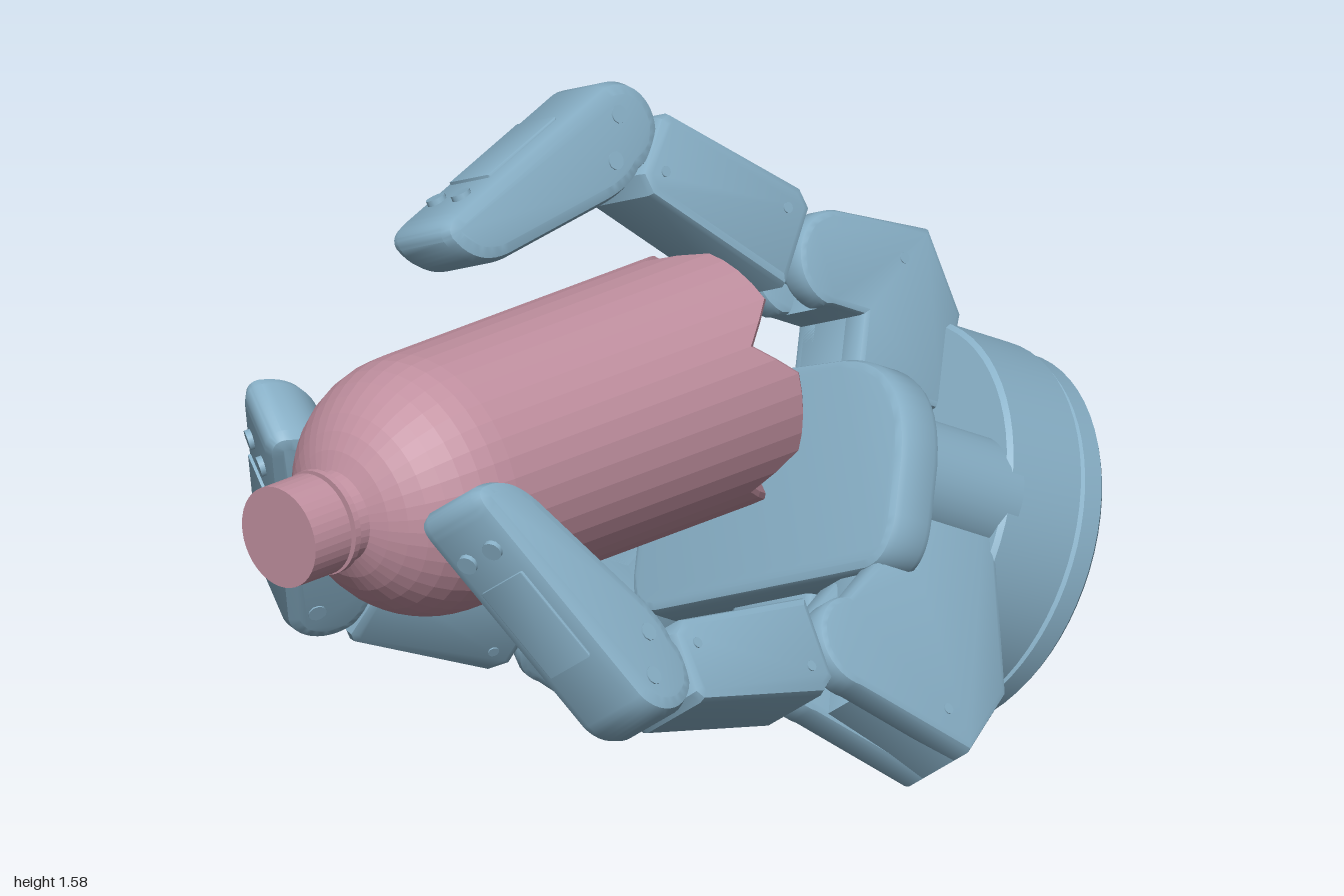
import * as THREE from 'three';
import { toCreasedNormals } from 'three/addons/utils/BufferGeometryUtils.js';

const blue = new THREE.MeshStandardMaterial({ color: 0x89b1c8 });
const pink = new THREE.MeshStandardMaterial({ color: 0xc190a0, flatShading: true });

function add(parent, geometry, name, material = blue) {
  const mesh = new THREE.Mesh(geometry, material);
  mesh.name = name;
  parent.add(mesh);
  return mesh;
}

// Turned part whose axis runs along +z; profile is [radius, z]
function turned(profile, segments) {
  return new THREE.LatheGeometry(profile.map(p => new THREE.Vector2(...p)), segments).rotateX(Math.PI / 2);
}

// Profile extruded to a given width, centred on z, with softened edges
function slab(shape, width, bevel = 0.015) {
  const g = new THREE.ExtrudeGeometry(shape, {
    depth: width - 2 * bevel, bevelThickness: bevel, bevelSize: bevel,
    bevelOffset: -bevel, bevelSegments: 2, curveSegments: 10,
  });
  return toCreasedNormals(g.translate(0, 0, -width / 2 + bevel), 0.5);
}

function polygon(points) {
  return new THREE.Shape(points.map(p => new THREE.Vector2(...p)));
}

function roundedRect(x0, y0, x1, y1, r) {
  const s = new THREE.Shape();
  s.absarc(x1 - r, y0 + r, r, -Math.PI / 2, 0);
  s.absarc(x1 - r, y1 - r, r, 0, Math.PI / 2);
  s.absarc(x0 + r, y1 - r, r, Math.PI / 2, Math.PI);
  s.absarc(x0 + r, y0 + r, r, Math.PI, Math.PI * 1.5);
  return s;
}

// Pair of small screw heads, one on each side of a part
function sideScrews(parent, x, y, width, r = 0.012) {
  for (const side of [-1, 1]) {
    const screw = add(parent, new THREE.CylinderGeometry(r, r, 0.006, 10).rotateX(Math.PI / 2), 'sideScrew');
    screw.position.set(x, y, side * width / 2);
  }
}

// Group at point a whose x axis points to b
function along(parent, a, b, name) {
  const g = new THREE.Group();
  g.name = name;
  g.position.set(a[0], a[1], 0);
  g.rotation.z = Math.atan2(b[1] - a[1], b[0] - a[0]);
  parent.add(g);
  return g;
}

// One finger in its own plane: x outward from the hand, y along the hand axis
function finger({ name, out, offset, inner, shoulder, P, D, tip, corner }) {
  const f = new THREE.Group();
  f.name = name;
  const x = new THREE.Vector3(Math.sin(out), -Math.cos(out), 0);
  const y = new THREE.Vector3(0, 0, 1);
  const z = new THREE.Vector3().crossVectors(x, y);
  f.quaternion.setFromRotationMatrix(new THREE.Matrix4().makeBasis(x, y, z));
  f.position.copy(z).multiplyScalar(offset);

  // Bent arm: solid core plus two cheeks forming the knuckle fork
  const R = 0.105;
  const elbow = [[inner, 0.24], [corner[0] - 0.16, corner[1] - 0.11], corner];
  const root = [[shoulder, 0.56], [shoulder, 0.48], [inner, 0.48]];
  const core = polygon([...elbow, [P[0] + 0.1, P[1] - 0.03], ...root]);
  add(f, slab(core, 0.2), 'armCore');
  const cheek = polygon([...elbow, [P[0] + R, P[1]]]);
  cheek.absarc(P[0], P[1], R, 0, Math.PI * 0.95);
  for (const p of root) cheek.lineTo(...p);
  for (const side of [-1, 1]) {
    add(f, slab(cheek, 0.075), 'armCheek').position.z = side * 0.073;
  }
  sideScrews(f, corner[0] - 0.08, corner[1] + 0.06, 0.22);

  // Middle link: narrow bar running through a wide housing
  const mid = along(f, P, D, 'middleLink');
  const L = Math.hypot(D[0] - P[0], D[1] - P[1]);
  add(mid, slab(roundedRect(-0.05, -0.05, L + 0.05, 0.05, 0.045), 0.07), 'linkBar');
  const x0 = 0.1, x1 = L - 0.08;
  const housing = polygon([[x0, -0.07], [x0 + 0.04, -0.1], [x1 - 0.02, -0.085], [x1, -0.065],
    [x1, 0.07], [x1 - 0.04, 0.1], [x0, 0.115]]);
  add(mid, slab(housing, 0.21, 0.02), 'linkHousing');
  sideScrews(mid, x0 + 0.06, -0.04, 0.21);
  sideScrews(mid, x1 - 0.05, 0.04, 0.21);

  // Fingertip: rounded knuckle tapering to a blunt tip; outer face is on -y
  const end = along(f, D, tip, 'fingertip');
  const body = new THREE.Shape();
  body.absarc(0, 0, 0.1, Math.PI / 2, Math.PI * 1.5);
  body.lineTo(0.5, -0.045);
  body.quadraticCurveTo(0.555, -0.04, 0.55, 0);
  body.quadraticCurveTo(0.52, 0.09, 0.42, 0.1);
  body.lineTo(0.12, 0.12);
  body.quadraticCurveTo(0.04, 0.125, 0, 0.1);
  add(end, slab(body, 0.2, 0.03), 'fingertipBody');
  const cover = polygon([[0.13, -0.075], [0.13, -0.092], [0.36, -0.067], [0.36, -0.05]]);
  add(end, slab(cover, 0.13, 0.004), 'fingertipCover');
  for (const side of [-1, 1]) {
    const screw = add(end, new THREE.CylinderGeometry(0.022, 0.022, 0.02, 12), 'fingertipScrew');
    screw.position.set(0.43, -0.053, side * 0.04);
  }
  sideScrews(end, 0, -0.03, 0.2, 0.02);
  sideScrews(end, 0.06, 0.05, 0.2, 0.02);
  return f;
}

function createBottle() {
  const bottle = new THREE.Group();
  bottle.name = 'bottle';
  bottle.position.set(-0.085, 0.905, 0);
  const profile = [[0, -0.25], [0.06, -0.26], [0.15, -0.27], [0.27, -0.27], [0.28, -0.26], [0.28, -0.155]];
  for (let i = 0; i <= 8; i++) {
    const t = (i / 8) * 1.205;
    profile.push([0.28 * Math.cos(t), 0.57 + 0.28 * Math.sin(t)]);
  }
  profile.push([0.095, 0.87], [0.113, 0.87], [0.113, 0.885], [0.095, 0.885], [0.095, 0.9]);
  const g = turned(profile, 40);
  // Five V-shaped grooves pressed into the base
  const p = g.attributes.position;
  for (let i = 0; i < p.count; i++) {
    if (p.getZ(i) > -0.2) continue;
    const r = Math.hypot(p.getX(i), p.getY(i));
    const turn = (Math.atan2(p.getY(i), p.getX(i)) / (Math.PI * 2) + 1) * 5;
    const fromGroove = Math.abs((turn % 1) - 0.5);
    p.setZ(i, p.getZ(i) + 0.1 * (r / 0.28) * Math.max(0, 1 - fromGroove / 0.25));
  }
  g.computeVertexNormals();
  add(bottle, g, 'bottleBody', pink);
  add(bottle, turned([[0, 0.895], [0.11, 0.895], [0.11, 1], [0, 1]], 40), 'bottleCap', pink);
  return bottle;
}

export function createModel() {
  const model = new THREE.Group();
  model.name = 'gripperWithBottle';
  model.add(createBottle());

  // Hand frame: z is the wrist axis, y points towards the thumb
  const hand = new THREE.Group();
  hand.name = 'hand';
  const a = new THREE.Vector3(-0.2, 0.45, 0.87).normalize();
  const s = new THREE.Vector3(0.914, 0.406, 0).normalize();
  const u = new THREE.Vector3().crossVectors(a, s);
  hand.quaternion.setFromRotationMatrix(new THREE.Matrix4().makeBasis(s, u, a));
  hand.position.set(0.16, 0.455, -0.8);
  model.add(hand);

  // Wrist disc with grooves near the back
  const wrist = turned([[0, -0.01], [0.395, -0.01], [0.405, 0], [0.405, 0.045], [0.395, 0.05], [0.395, 0.06],
    [0.415, 0.065], [0.415, 0.25], [0.405, 0.26], [0, 0.26]], 64);
  add(hand, toCreasedNormals(wrist, 0.5), 'wristDisc');

  // Pedestal, side pivots and palm plate
  add(hand, slab(roundedRect(-0.14, -0.34, 0.12, 0.22, 0.02), 0.28), 'palmPedestal').position.z = 0.38;
  for (const side of [-1, 1]) {
    const pivot = add(hand, new THREE.CylinderGeometry(0.13, 0.13, 0.3, 32).rotateX(Math.PI / 2), 'armPivot');
    pivot.position.set(0.02 + side * 0.27, -0.01, 0.37);
  }
  const palm = new THREE.Shape();
  palm.moveTo(-0.32, -0.26);
  palm.lineTo(0.37, -0.26);
  palm.quadraticCurveTo(0.45, -0.25, 0.455, -0.15);
  palm.lineTo(0.455, -0.02);
  palm.quadraticCurveTo(0.44, 0.2, 0.22, 0.22);
  palm.lineTo(-0.24, 0.24);
  palm.quadraticCurveTo(-0.4, 0.22, -0.405, 0.04);
  palm.lineTo(-0.405, -0.17);
  palm.quadraticCurveTo(-0.4, -0.25, -0.32, -0.26);
  add(hand, slab(palm, 0.11, 0.02), 'palmPlate').position.z = 0.53;

  hand.add(
    finger({ name: 'thumb', out: Math.PI, offset: 0.04, inner: 0.2, shoulder: 0.35,
      P: [0.45, 0.563], D: [0.588, 1.162], tip: [0.245, 1.575], corner: [0.575, 0.33] }),
    finger({ name: 'leftFinger', out: 0.26, offset: -0.22, inner: 0.02, shoulder: 0.32,
      P: [0.545, 0.645], D: [0.75, 1.205], tip: [0.46, 1.64], corner: [0.72, 0.35] }),
    finger({ name: 'rightFinger', out: -0.93, offset: 0.195, inner: 0.02, shoulder: 0.5,
      P: [0.64, 0.605], D: [0.725, 1.185], tip: [0.385, 1.555], corner: [0.81, 0.34] }),
  );
  return model;
}
